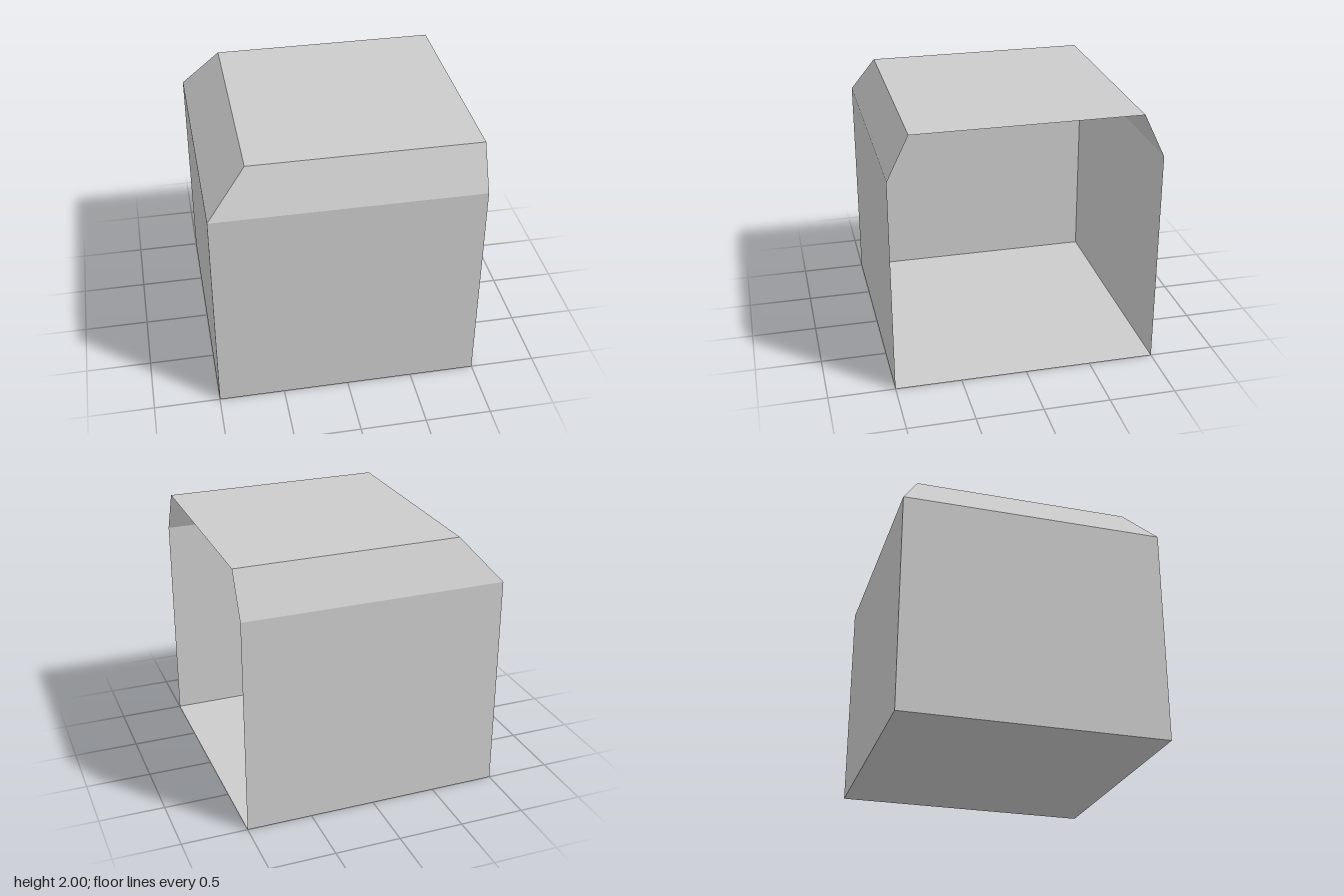
import * as THREE from 'three';

const material = new THREE.MeshStandardMaterial({ color: 0xcccccc, flatShading: true, side: THREE.DoubleSide });

// Flat four-cornered sheet, corners counter-clockwise seen from outside
function panel(name, corners) {
  const geometry = new THREE.BufferGeometry();
  geometry.setAttribute('position', new THREE.Float32BufferAttribute(corners.flat(), 3));
  geometry.setIndex([0, 1, 2, 0, 2, 3]);
  geometry.computeVertexNormals();
  const mesh = new THREE.Mesh(geometry, material);
  mesh.name = name;
  return mesh;
}

export function createModel() {
  const group = new THREE.Group();
  group.name = 'openContainer';

  const eave = 1.67, top = 2;        // heights of the walls and the roof
  const roofX = -0.71, roofZ = 0.84; // inset edges of the roof

  // Floor and flat roof
  group.add(panel('floor', [[-1, 0, -1], [1, 0, -1], [1, 0, 1], [-1, 0, 1]]));
  group.add(panel('roof', [[roofX, top, roofZ], [1, top, roofZ], [1, top, -roofZ], [roofX, top, -roofZ]]));

  // Closed end with its sloped top; the +x end stays open
  group.add(panel('endWall', [[-1, 0, -1], [-1, 0, 1], [-1, eave, 1], [-1, eave, -1]]));
  group.add(panel('endSlope', [[-1, eave, -1], [-1, eave, 1], [roofX, top, roofZ], [roofX, top, -roofZ]]));

  // Front and back walls with sloped tops, mirrored in z
  for (const [side, s] of [['front', 1], ['back', -1]]) {
    const wall = [[-1, 0, s], [1, 0, s], [1, eave, s], [-1, eave, s]];
    const slope = [[-1, eave, s], [1, eave, s], [1, top, s * roofZ], [roofX, top, s * roofZ]];
    if (s < 0) {
      wall.reverse();
      slope.reverse();
    }
    group.add(panel(side + 'Wall', wall), panel(side + 'Slope', slope));
  }
  return group;
}
